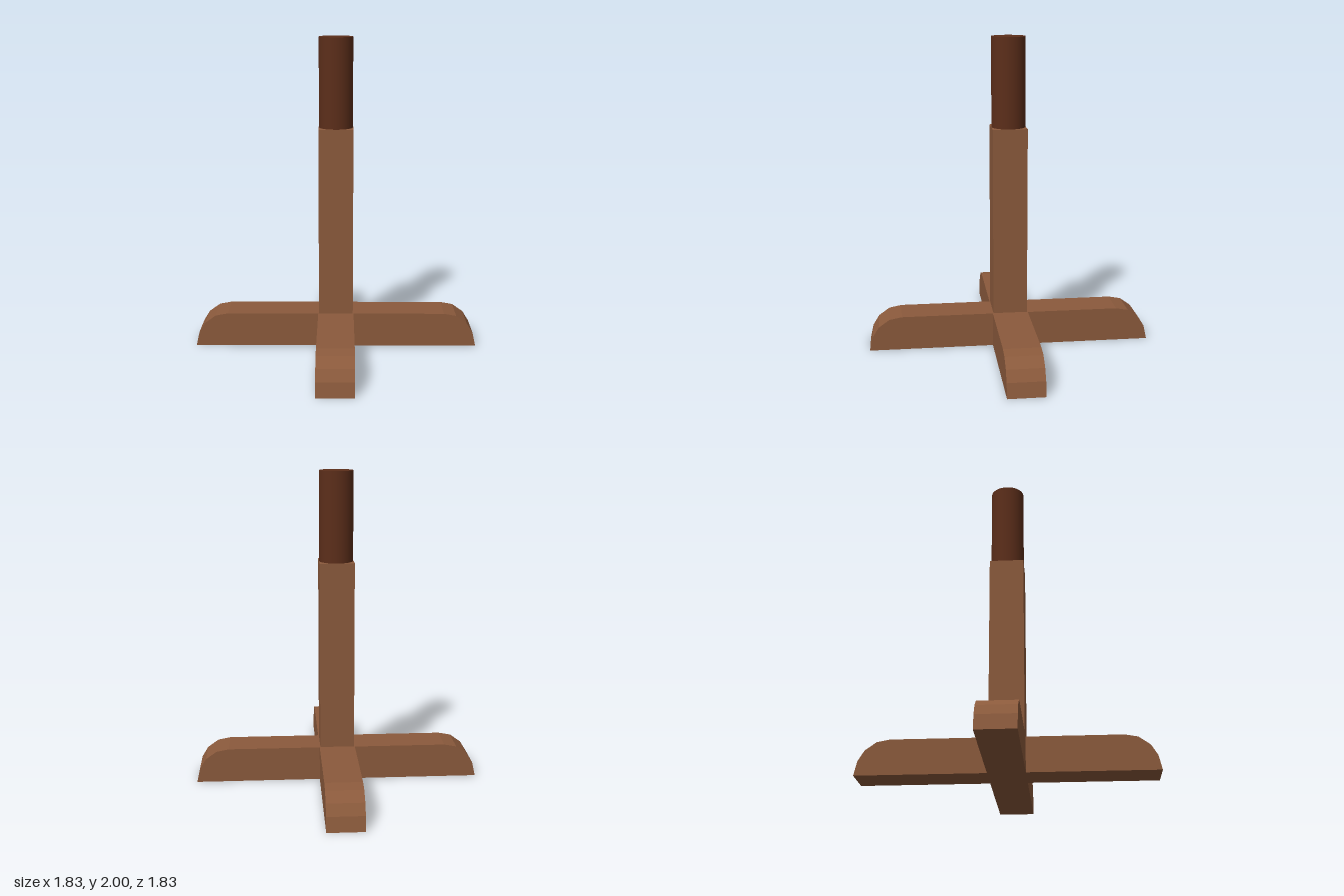
import * as THREE from 'three';

const wood = new THREE.MeshStandardMaterial({ color: 0x8b5a3c });
const darkWood = new THREE.MeshStandardMaterial({ color: 0x5c2e1a });

const BEAM_WIDTH = 0.23;
// Rounded beam end, from the floor up to the flat top
const END = [[0.915, 0], [0.895, 0.09], [0.855, 0.155], [0.785, 0.205], [0.705, 0.22]];

// Extrudes a side outline across the beam's width, centred on z
function beam(name, points) {
  const shape = new THREE.Shape(points.map(([x, y]) => new THREE.Vector2(x, y)));
  const geometry = new THREE.ExtrudeGeometry(shape, { depth: BEAM_WIDTH, bevelEnabled: false });
  geometry.translate(0, 0, -BEAM_WIDTH / 2);
  const mesh = new THREE.Mesh(geometry, wood);
  mesh.name = name;
  return mesh;
}

export function createModel() {
  const model = new THREE.Group();
  model.name = 'crossBaseStand';

  // Base: one full beam along x, and two arms butting against it along z
  const base = new THREE.Group();
  base.name = 'crossBase';
  const mirroredEnd = END.map(([x, y]) => [-x, y]).reverse();
  base.add(beam('crossBeam', [...END, ...mirroredEnd]));
  const inner = BEAM_WIDTH / 2;
  for (const [name, turn] of [['frontArm', -Math.PI / 2], ['backArm', Math.PI / 2]]) {
    const arm = beam(name, [...END, [inner, 0.22], [inner, 0]]);
    arm.rotation.y = turn;
    base.add(arm);
  }
  model.add(base);

  // Square post standing on the cross
  const post = new THREE.Mesh(new THREE.BoxGeometry(0.22, 1.21, 0.22), wood);
  post.name = 'post';
  post.position.y = 0.22 + 1.21 / 2;
  model.add(post);

  // Round peg on top of the post
  const peg = new THREE.Mesh(new THREE.CylinderGeometry(0.108, 0.108, 0.57, 32), darkWood);
  peg.name = 'peg';
  peg.position.y = 1.43 + 0.57 / 2;
  model.add(peg);

  return model;
}
